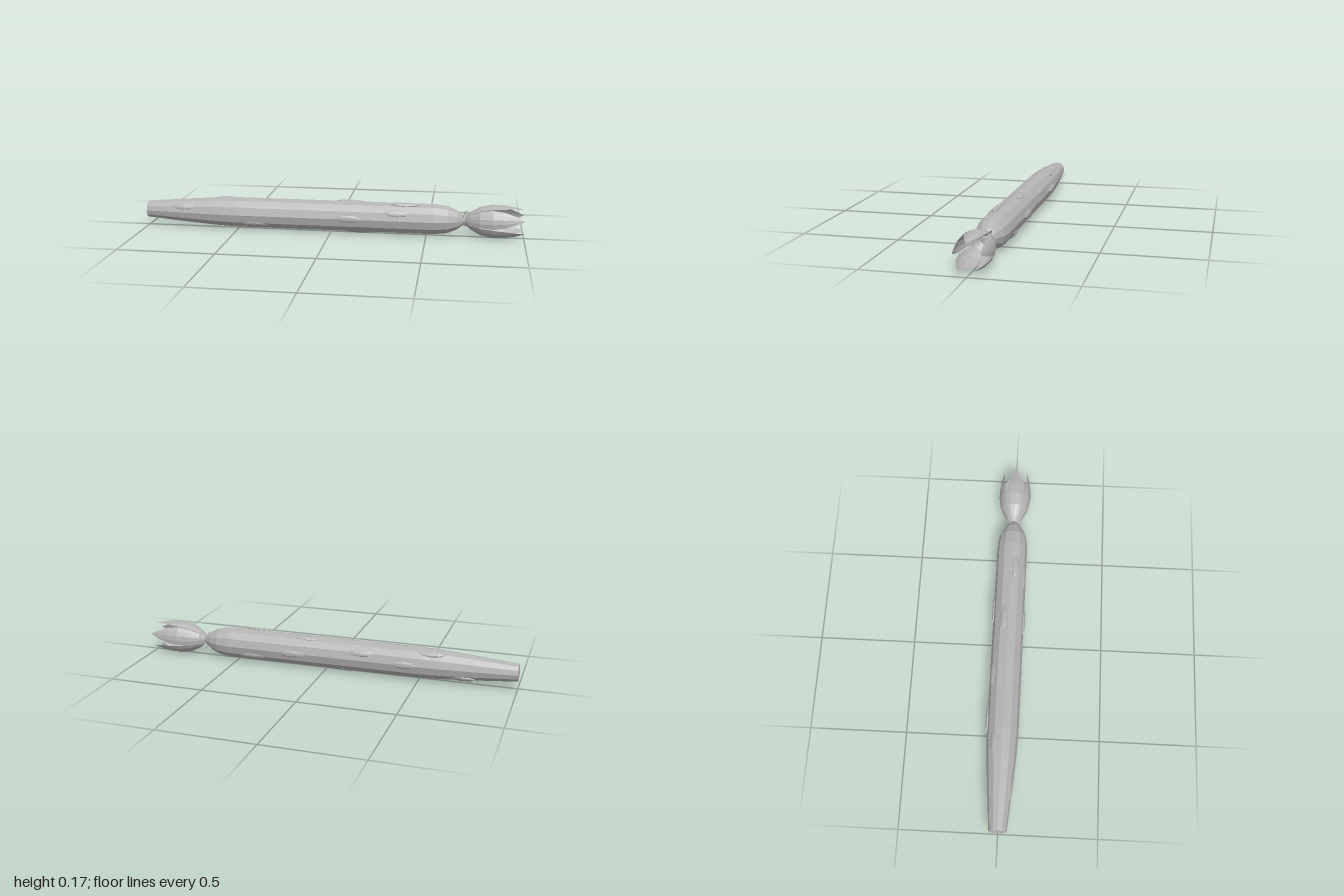
import * as THREE from 'three';

const AXIS_Y = 0.09;

// Open lens-shaped leaf along +x; rows are [x, radius, half angle] around the stem axis
function leafGeometry(rows, cols) {
  const pos = [], index = [];
  rows.forEach(([x, r, half]) => {
    for (let j = 0; j <= cols; j++) {
      const a = half * (2 * j / cols - 1);
      pos.push(x, r * Math.cos(a), r * Math.sin(a));
    }
  });
  const n = cols + 1;
  for (let i = 0; i < rows.length - 1; i++) {
    for (let j = 0; j < cols; j++) {
      const a = i * n + j, b = a + 1, c = a + n, d = c + 1;
      index.push(a, b, c, b, d, c);
    }
  }
  const g = new THREE.BufferGeometry();
  g.setAttribute('position', new THREE.Float32BufferAttribute(pos, 3));
  g.setIndex(index);
  g.computeVertexNormals();
  return g;
}

export function createModel() {
  const group = new THREE.Group();
  const grey = new THREE.MeshStandardMaterial({ color: 0xb4b4b4, flatShading: true, side: THREE.DoubleSide });
  grey.name = 'grey';

  const add = (name, geometry, parent = group) => {
    const mesh = new THREE.Mesh(geometry, grey);
    mesh.name = name;
    parent.add(mesh);
    return mesh;
  };

  // Long twelve-sided stem, cut flat at one end and rounded at the other
  const profile = [
    [0, -1], [0.045, -1], [0.064, -0.78], [0.076, -0.62], [0.081, -0.5],
    [0.081, 0.54], [0.072, 0.61], [0.05, 0.66], [0.026, 0.69], [0.015, 0.705], [0, 0.705],
  ].map(([r, x]) => new THREE.Vector2(r, x));
  const stem = add('stem', new THREE.LatheGeometry(profile, 12).rotateZ(-Math.PI / 2));
  stem.position.y = AXIS_Y;

  // Low slender scales on the stem: [x, degrees around from the front, radius]
  const scaleGeo = new THREE.SphereGeometry(1, 8, 5).scale(0.075, 0.009, 0.02);
  const scales = [
    [-0.78, 33, 0.06], [0.35, 30, 0.078], [0.39, 72, 0.081], [0.1, 108, 0.078],
    [-0.56, 122, 0.076], [-0.43, 178, 0.081], [0.17, 182, 0.081], [-0.2, 150, 0.077],
    [0.4, 215, 0.077], [-0.1, 250, 0.076], [0.15, 288, 0.076], [-0.4, 322, 0.076],
    [0.1, 2, 0.079], [-0.72, 230, 0.065],
  ];
  for (const [x, deg, r] of scales) {
    const pivot = new THREE.Group();
    pivot.name = 'scale';
    pivot.position.set(x, AXIS_Y, 0);
    pivot.rotation.x = THREE.MathUtils.degToRad(90 - deg);
    add('scaleBump', scaleGeo, pivot).position.y = r;
    group.add(pivot);
  }

  // Five cupped petals with five small sepals between them
  const petalGeo = leafGeometry([
    [0.69, 0.012, 0.6], [0.725, 0.045, 0.6], [0.775, 0.073, 0.61], [0.84, 0.086, 0.6],
    [0.9, 0.084, 0.5], [0.955, 0.075, 0.3], [1, 0.066, 0.02],
  ], 4);
  const sepalGeo = leafGeometry([[0.685, 0.018, 0.5], [0.692, 0.038, 0.22], [0.715, 0.062, 0.01]], 2);
  const flower = new THREE.Group();
  flower.name = 'flower';
  flower.position.y = AXIS_Y;
  for (let i = 0; i < 5; i++) {
    const a = i * Math.PI * 2 / 5;
    add('petal', petalGeo, flower).rotation.x = a;
    add('sepal', sepalGeo, flower).rotation.x = a + Math.PI / 5;
  }
  group.add(flower);

  return group;
}
